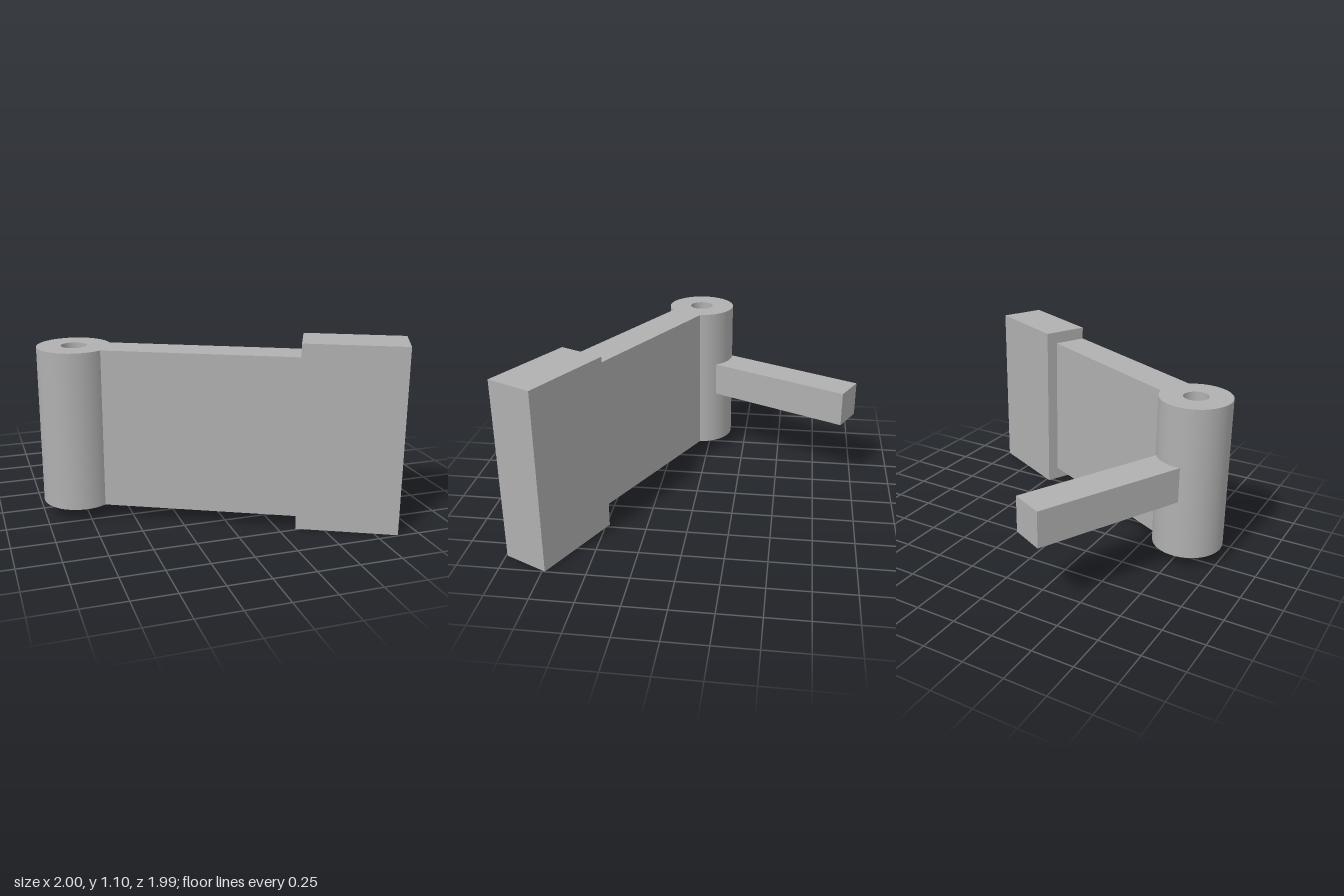
import * as THREE from 'three';
import { toCreasedNormals } from 'three/addons/utils/BufferGeometryUtils.js';

const HUB_R = 0.215, BORE_R = 0.075, HALF = 0.107;

export function createModel() {
  const grey = new THREE.MeshStandardMaterial({ color: 0xb0b0b0 });
  grey.name = 'grey';

  // Plan axes: u runs along the arm, v along the lever, square to it
  const model = new THREE.Group();
  model.name = 'bellCrank';
  model.position.set(-0.785, 0, 0.065);
  model.rotation.y = THREE.MathUtils.degToRad(-26);

  // Extrude a plan shape upwards from y0 to y1
  function addPart(name, shape, y0, y1) {
    let geo = new THREE.ExtrudeGeometry(shape, { depth: y1 - y0, bevelEnabled: false, curveSegments: 32 });
    geo.rotateX(-Math.PI / 2).translate(0, y0, 0);
    geo = toCreasedNormals(geo, Math.PI / 6);
    const mesh = new THREE.Mesh(geo, grey);
    mesh.name = name;
    model.add(mesh);
    return mesh;
  }

  // Straight bar whose inner end is hollowed to fit round the hub
  function barShape(length) {
    const r = HUB_R - 0.005, a = Math.asin(HALF / r);
    const s = new THREE.Shape();
    s.moveTo(r * Math.cos(a), -HALF);
    s.lineTo(length, -HALF);
    s.lineTo(length, HALF);
    s.lineTo(r * Math.cos(a), HALF);
    s.absarc(0, 0, r, a, -a, true);
    return s;
  }

  // Hub with bore
  const hub = new THREE.Shape().absarc(0, 0, HUB_R, 0, Math.PI * 2, false);
  hub.holes.push(new THREE.Path().absarc(0, 0, BORE_R, 0, Math.PI * 2, true));
  addPart('hub', hub, 0.08, 1.02);

  // Tall arm and the narrow lever square to it
  addPart('arm', barShape(1.314), 0.08, 1.02);
  addPart('lever', barShape(1.132), 0.44, 0.657).rotation.y = Math.PI / 2;

  // Thick end block, flush with the arm's front face
  const block = new THREE.Shape([[1.314, -HALF], [1.896, -HALF], [1.896, 0.18], [1.314, 0.18]]
    .map(([u, v]) => new THREE.Vector2(u, v)));
  addPart('endBlock', block, 0, 1.097);

  const root = new THREE.Group();
  root.name = 'model';
  root.add(model);
  return root;
}
